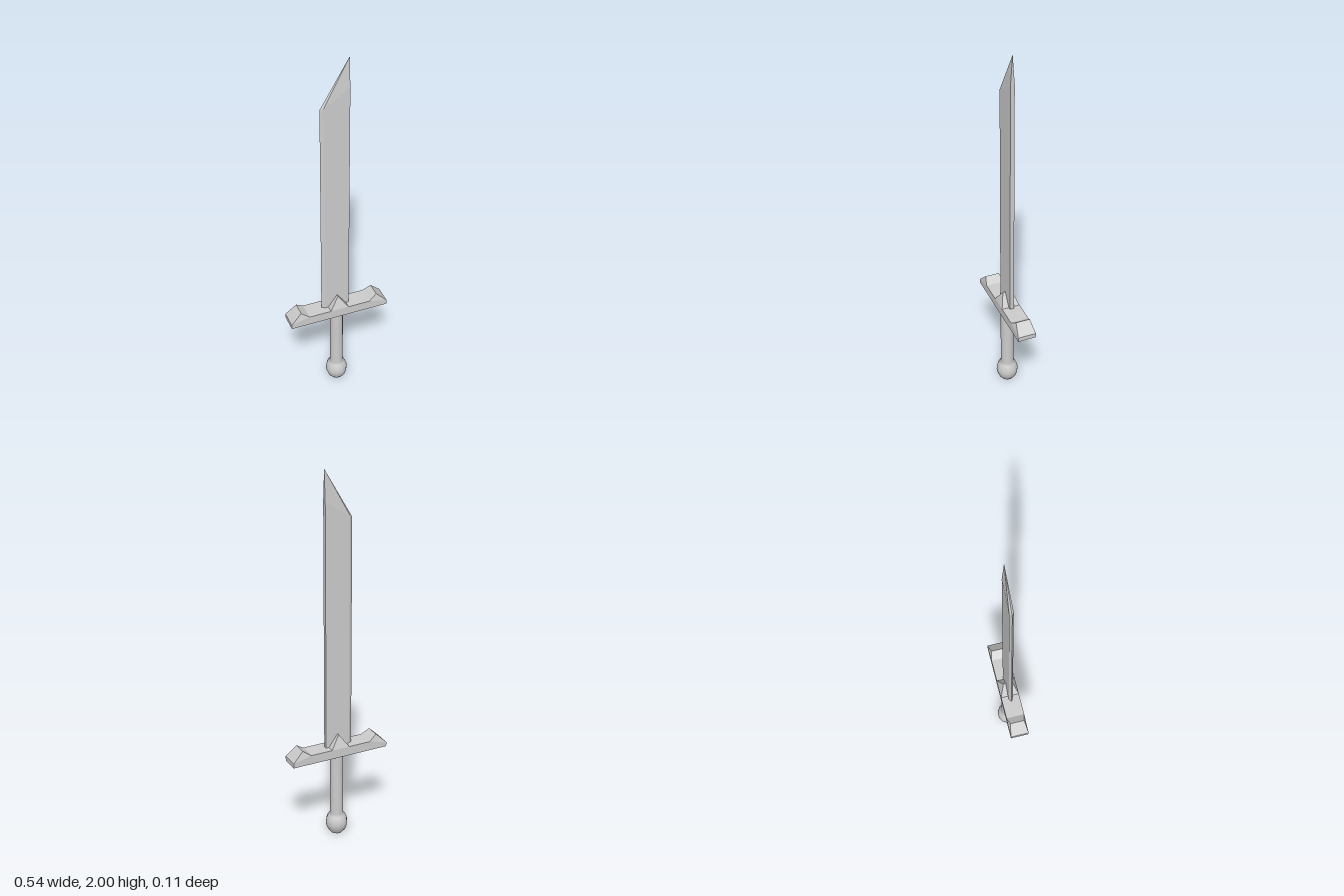
import * as THREE from 'three';

const smooth = new THREE.MeshStandardMaterial({ color: 0xcccccc });
const flat = new THREE.MeshStandardMaterial({ color: 0xcccccc, flatShading: true });

function addMesh(parent, name, geometry, material) {
  const mesh = new THREE.Mesh(geometry, material);
  mesh.name = name;
  parent.add(mesh);
  return mesh;
}

// Extrude an x/y outline to the depth of the guard, centred on z = 0
function slab(outline, halfDepth) {
  const shape = new THREE.Shape(outline.map(([x, y]) => new THREE.Vector2(x, y)));
  const geometry = new THREE.ExtrudeGeometry(shape, { depth: 2 * halfDepth, bevelEnabled: false });
  return geometry.translate(0, 0, -halfDepth);
}

// Triangular ridge whose crest is pulled in along z
function ridge(outline, halfDepth, crestHalfDepth) {
  const geometry = slab(outline, halfDepth);
  const p = geometry.attributes.position;
  const crestY = Math.max(...outline.map(([, y]) => y));
  for (let i = 0; i < p.count; i++) {
    if (Math.abs(p.getY(i) - crestY) < 1e-4) p.setZ(i, Math.sign(p.getZ(i)) * crestHalfDepth);
  }
  geometry.computeVertexNormals();
  return geometry;
}

// Five-sided section (cutting edge at -x) swept up to a slanted point
function bladeGeometry() {
  const section = [
    // x, z, height where the taper begins
    [-0.085, 0, 1.745],
    [-0.068, 0.011, 1.755],
    [0.066, 0.011, 1.84],
    [0.066, -0.011, 1.84],
    [-0.068, -0.011, 1.755],
  ];
  const n = section.length;
  const vertices = [];
  for (const [x, z] of section) vertices.push(x, 0.5, z);
  for (const [x, z, y] of section) vertices.push(x, y, z);
  vertices.push(0.066, 2, 0);
  const tip = 2 * n;
  const index = [];
  for (let i = 0; i < n; i++) {
    const j = (i + 1) % n;
    index.push(i, j, n + j, i, n + j, n + i, n + i, n + j, tip);
    if (i > 0 && i < n - 1) index.push(0, i + 1, i);
  }
  const geometry = new THREE.BufferGeometry();
  geometry.setAttribute('position', new THREE.Float32BufferAttribute(vertices, 3));
  geometry.setIndex(index);
  geometry.computeVertexNormals();
  return geometry;
}

export function createModel() {
  const sword = new THREE.Group();
  sword.name = 'sword';

  addMesh(sword, 'blade', bladeGeometry(), flat);

  // Crossguard: bar with a central ridge and one ridge near each end
  const guard = new THREE.Group();
  guard.name = 'crossguard';
  sword.add(guard);
  const depth = 0.049;
  addMesh(guard, 'guardBar', slab([
    [-0.27, 0.47], [0.27, 0.47], [0.27, 0.495],
    [0.17, 0.52], [-0.17, 0.52], [-0.27, 0.495],
  ], depth), flat);
  addMesh(guard, 'centreRidge', ridge([[-0.05, 0.52], [0.05, 0.52], [0, 0.59]], depth, 0.024), flat);
  for (const [name, s] of [['leftRidge', 1], ['rightRidge', -1]]) {
    addMesh(guard, name, ridge([[s * 0.27, 0.495], [s * 0.213, 0.55], [s * 0.17, 0.52]], depth, 0.038), flat);
  }

  // Grip and round pommel in one turned profile
  const sides = 12;
  const turn = Math.PI / sides;
  const profile = [
    [0.032, 0], [0.047, 0.018], [0.056, 0.042], [0.058, 0.06],
    [0.055, 0.082], [0.045, 0.104], [0.035, 0.118], [0.035, 0.48],
  ].map(([r, y]) => new THREE.Vector2(r, y));
  addMesh(sword, 'gripAndPommel', new THREE.LatheGeometry(profile, sides, turn), smooth);

  // Flat underside of the pommel
  const cap = new THREE.CircleGeometry(0.032, sides, turn).rotateX(Math.PI / 2);
  addMesh(sword, 'pommelCap', cap, flat);

  return sword;
}
